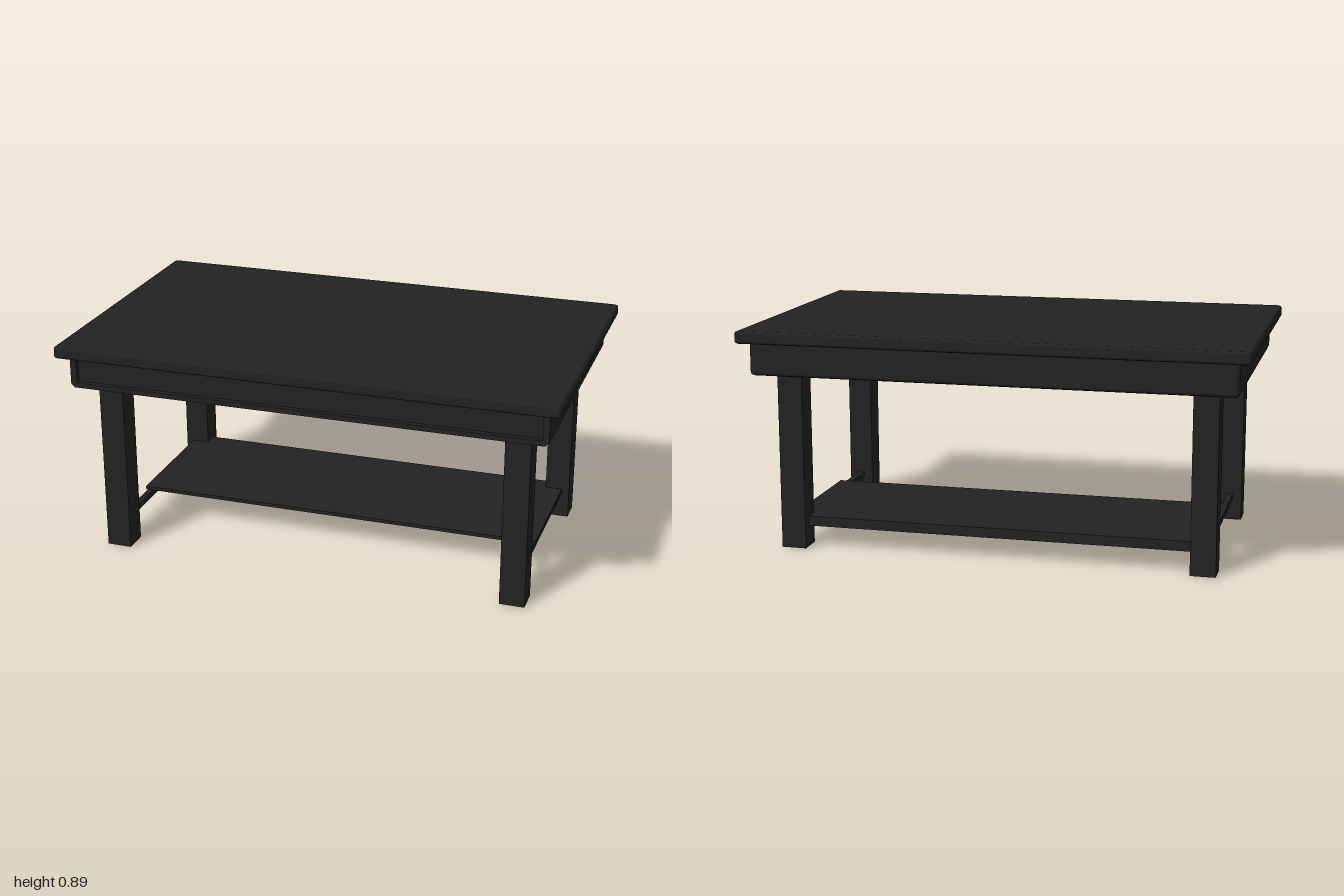
import * as THREE from 'three';
import { RoundedBoxGeometry } from 'three/addons/geometries/RoundedBoxGeometry.js';

export function createModel() {
  const table = new THREE.Group();
  table.name = 'table';
  const blackWood = new THREE.MeshStandardMaterial({ color: 0x222222 });
  blackWood.name = 'blackWood';

  const add = (name, geometry) => {
    const mesh = new THREE.Mesh(geometry, blackWood);
    mesh.name = name;
    table.add(mesh);
    return mesh;
  };
  // Boxes given by their limits on each axis; a bevel gives eased edges
  const block = (name, [x0, x1], [y0, y1], [z0, z1], bevel = 0) => {
    const size = [x1 - x0, y1 - y0, z1 - z0];
    const geometry = bevel
      ? new RoundedBoxGeometry(...size, 1, bevel)
      : new THREE.BoxGeometry(...size);
    add(name, geometry).position.set((x0 + x1) / 2, (y0 + y1) / 2, (z0 + z1) / 2);
  };

  // Table top and apron body
  block('tableTop', [-1, 1], [0.845, 0.895], [-0.6, 0.6], 0.012);
  block('apron', [-0.955, 0.955], [0.715, 0.86], [-0.56, 0.53], 0.015);

  // Raised border around the recessed front panel
  const border = new THREE.Shape();
  border.moveTo(-0.94, 0.715);
  border.lineTo(0.94, 0.715);
  border.lineTo(0.955, 0.73);
  border.lineTo(0.955, 0.85);
  border.lineTo(0.93, 0.85);
  border.lineTo(0.93, 0.735);
  border.lineTo(-0.93, 0.735);
  border.lineTo(-0.93, 0.85);
  border.lineTo(-0.955, 0.85);
  border.lineTo(-0.955, 0.73);
  border.closePath();
  const borderGeometry = new THREE.ExtrudeGeometry(border, { depth: 0.04, bevelEnabled: false });
  add('frontBorder', borderGeometry).position.z = 0.51;

  // Square legs and the side rails between them
  for (const side of [-1, 1]) {
    const x = side * 0.825;
    for (const end of [-1, 1]) {
      const z = end * 0.42;
      block(end > 0 ? 'frontLeg' : 'backLeg', [x - 0.05, x + 0.05], [0, 0.72], [z - 0.05, z + 0.05]);
    }
    block('sideRail', [x - 0.0125, x + 0.0125], [0.085, 0.11], [-0.38, 0.38]);
  }

  // Back rail and the half-depth shelf resting on the rails
  block('backRail', [-0.79, 0.79], [0.085, 0.11], [-0.4325, -0.4075]);
  block('shelf', [-0.845, 0.845], [0.11, 0.125], [-0.4325, 0.15]);

  return table;
}
